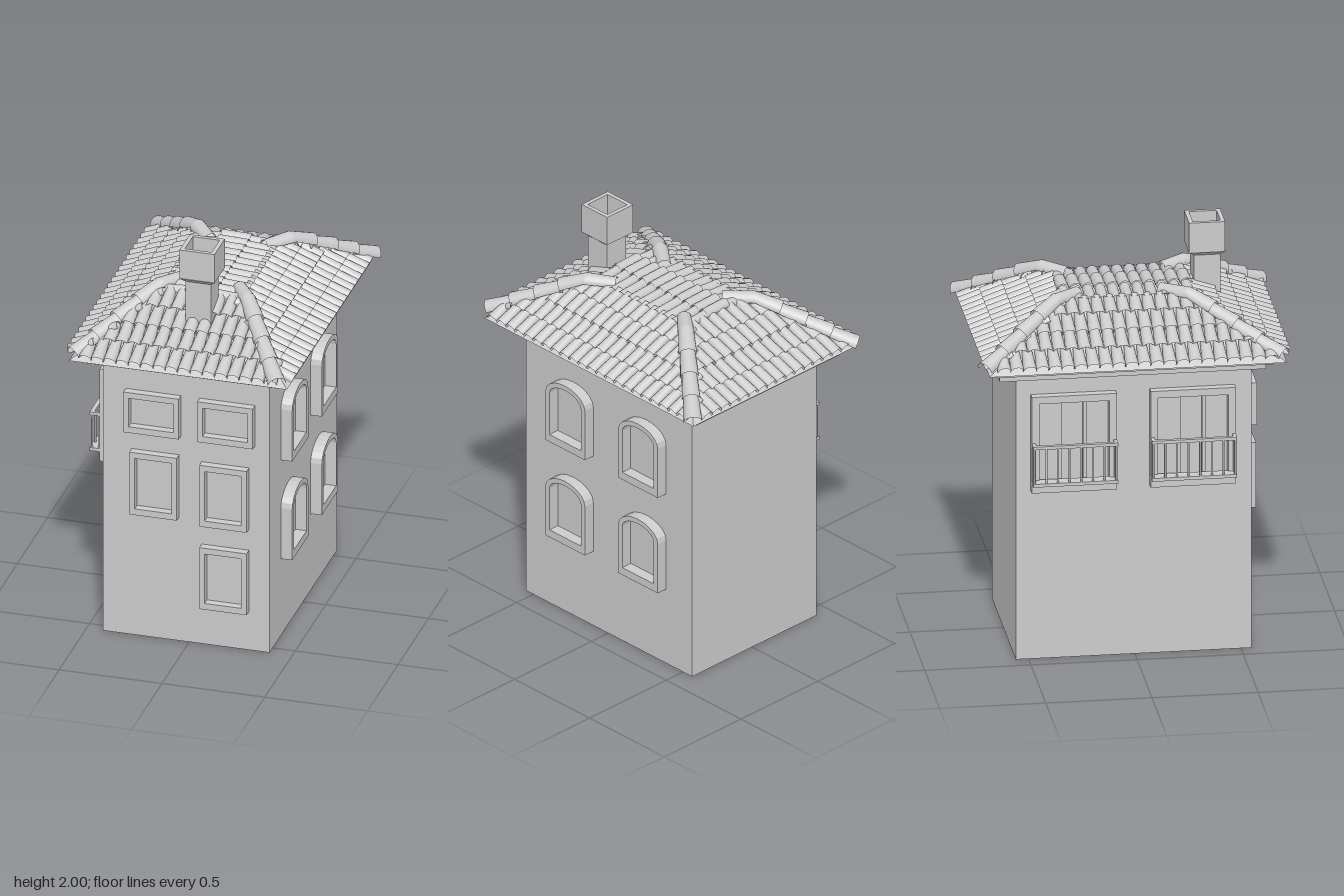
import * as THREE from 'three';
import { mergeGeometries } from 'three/addons/utils/BufferGeometryUtils.js';

const grey = new THREE.MeshStandardMaterial({ color: 0xcccccc });
const thin = new THREE.MeshStandardMaterial({ color: 0xcccccc, side: THREE.DoubleSide });
const V = (x, y, z) => new THREE.Vector3(x, y, z);

function add(parent, name, geometry, material = grey) {
  const mesh = new THREE.Mesh(geometry, material);
  mesh.name = name;
  parent.add(mesh);
  return mesh;
}

// Box given by its limits; the top face can be scaled to make a frustum
function block(x0, x1, y0, y1, z0, z1, tx = 1, tz = 1) {
  const g = new THREE.BoxGeometry(x1 - x0, y1 - y0, z1 - z0);
  const p = g.attributes.position;
  for (let i = 0; i < p.count; i++) {
    if (p.getY(i) > 0) p.setXYZ(i, p.getX(i) * tx, p.getY(i), p.getZ(i) * tz);
  }
  g.computeVertexNormals();
  return g.translate((x0 + x1) / 2, (y0 + y1) / 2, (z0 + z1) / 2);
}

const rect = (x0, x1, y0, y1) => [[x0, y0], [x1, y0], [x1, y1], [x0, y1]].map(p => new THREE.Vector2(...p));

// Low arch outline: straight sides with a half-ellipse on top
function arch(x0, x1, y0, spring, top) {
  const pts = [new THREE.Vector2(x0, y0), new THREE.Vector2(x1, y0)];
  for (let i = 0; i <= 10; i++) {
    const a = (i / 10) * Math.PI;
    pts.push(new THREE.Vector2((x0 + x1) / 2 + (Math.cos(a) * (x1 - x0)) / 2, spring + Math.sin(a) * (top - spring)));
  }
  return pts;
}

// Frame with an opening, standing out from a wall at the given distance
function frame(outer, inner, z, depth) {
  const s = new THREE.Shape(outer);
  s.holes.push(new THREE.Path(inner));
  return new THREE.ExtrudeGeometry(s, { depth, bevelEnabled: false }).translate(0, 0, z);
}

// Half-round tile from lower point a to upper point b
function tile(a, b, r0, r1) {
  const dir = b.clone().sub(a);
  const len = dir.length();
  const y = dir.normalize();
  const x = y.clone().cross(V(0, 1, 0)).normalize();
  const z = x.clone().cross(y);
  const mid = a.clone().add(b).multiplyScalar(0.5);
  const g = new THREE.CylinderGeometry(r1, r0, len, 10, 1, true, -Math.PI / 2, Math.PI);
  return g.applyMatrix4(new THREE.Matrix4().makeBasis(x, y, z).setPosition(mid));
}

const CX = -0.012;
const EAVE = { x: 0.53, z: 0.7, y: 1.475 };
const TOP = { x: 0.18, z: 0.31, y: 1.69 };

// Four overlapping courses of tiles on one roof slope
function slopeTiles(alongX, sign) {
  const [out, side] = alongX ? ['x', 'z'] : ['z', 'x'];
  const rows = 4, pitch = 0.06, list = [];
  const point = (t, c, lift) => {
    const d = sign * THREE.MathUtils.lerp(EAVE[out], TOP[out], t);
    const y = THREE.MathUtils.lerp(EAVE.y, TOP.y, t) + lift;
    return alongX ? V(CX + d, y, c) : V(CX + c, y, d);
  };
  for (let r = 0; r < rows; r++) {
    const t0 = r / rows - 0.03, t1 = Math.min((r + 1.25) / rows, 1.03);
    const half = THREE.MathUtils.lerp(EAVE[side], TOP[side], (r + 0.45) / rows);
    const n = Math.round((2 * half) / pitch);
    for (let i = 0; i < n; i++) {
      const c = (i - (n - 1) / 2) * pitch;
      list.push(tile(point(t0, c, 0.014), point(t1, c, -0.002), 0.033, 0.024));
    }
  }
  return mergeGeometries(list);
}

function buildRoof() {
  const roof = new THREE.Group();
  roof.name = 'roof';
  add(roof, 'lowerCornice', block(-0.485, 0.445, 1.415, 1.45, -0.645, 0.61));
  add(roof, 'upperCornice', block(-0.51, 0.46, 1.445, 1.465, -0.665, 0.635));
  add(roof, 'roofCore', block(CX - EAVE.x, CX + EAVE.x, 1.463, TOP.y, -EAVE.z, EAVE.z, TOP.x / EAVE.x, TOP.z / EAVE.z));
  add(roof, 'leftTiles', slopeTiles(true, 1), thin);
  add(roof, 'rightTiles', slopeTiles(true, -1), thin);
  add(roof, 'frontTiles', slopeTiles(false, 1), thin);
  add(roof, 'backTiles', slopeTiles(false, -1), thin);

  // Tiles lying across the ridge, with lower ones on either side
  const ridge = [];
  for (let i = 0; i < 11; i++) {
    const z = (i - 5) * 0.058;
    ridge.push(tile(V(-0.09, 1.705, z), V(0.055, 1.703, z), 0.03, 0.028));
    ridge.push(tile(V(0.19, 1.685, z), V(0.04, 1.7, z), 0.028, 0.024));
    ridge.push(tile(V(-0.21, 1.685, z), V(-0.07, 1.7, z), 0.028, 0.024));
  }
  add(roof, 'ridgeTiles', mergeGeometries(ridge), thin);

  // Overlapping caps down each hip
  const hips = [
    [0.475, 0.715, 0.14, 0.2], [-0.525, 0.685, -0.13, 0.16],
    [-0.525, -0.72, -0.13, -0.23], [0.53, -0.71, 0.13, -0.24],
  ];
  const caps = [];
  for (const [x0, z0, x1, z1] of hips) {
    const start = V(x0, 1.482, z0);
    const knee = V(x0, 1.7, z0).lerp(V(x1, 1.7, z1), 0.76);
    for (let i = 0; i < 4; i++) {
      const a = start.clone().lerp(knee, i / 4), b = start.clone().lerp(knee, (i + 1.15) / 4);
      a.y += 0.008;
      caps.push(tile(a, b, 0.044, 0.036));
    }
    caps.push(tile(knee, V(x1, 1.7, z1), 0.04, 0.034));
  }
  add(roof, 'hipCaps', mergeGeometries(caps), thin);
  return roof;
}

function buildChimney() {
  const g = new THREE.Group();
  g.name = 'chimney';
  add(g, 'chimneyStack', block(-0.047, 0.077, 1.5, 1.84, 0.33, 0.455));
  add(g, 'chimneyFlare', block(-0.047, 0.077, 1.83, 1.852, 0.33, 0.455, 1.37, 1.37));
  const pot = frame(rect(-0.085, 0.085, -0.085, 0.085), rect(-0.065, 0.065, -0.065, 0.065), 0, 0.15);
  add(g, 'chimneyTop', pot.rotateX(-Math.PI / 2).translate(0.015, 1.85, 0.39));
  return g;
}

// Framed window with a guard rail, centred on c; the wall is at w
function balcony(c, w) {
  const g = new THREE.Group();
  g.name = 'balconyWindow';
  const h = 0.2, d = w + 0.083;
  add(g, 'balconyFrame', frame(rect(c - h, c + h, 0.84, 1.32), rect(c - h + 0.035, c + h - 0.035, 0.89, 1.285), w - 0.005, 0.045));
  add(g, 'windowLeaf', block(c - h + 0.035, c - 0.055, 0.89, 1.285, w - 0.005, w + 0.018));
  add(g, 'windowPost', block(c + 0.045, c + 0.06, 0.89, 1.285, w - 0.005, w + 0.018));
  add(g, 'balconyFloor', block(c - h, c + h, 0.888, 0.904, w + 0.03, d + 0.006));
  add(g, 'frontHandrail', block(c - h, c + h, 1.075, 1.09, d - 0.014, d + 0.006));
  const bar = (x, z) => add(g, 'baluster', new THREE.CylinderGeometry(0.005, 0.005, 0.18, 8).translate(x, 0.99, z));
  for (let i = 0; i < 8; i++) bar(c - h + 0.008 + (i * (2 * h - 0.016)) / 7, d - 0.004);
  for (const s of [-1, 1]) {
    const x = c + s * (h - 0.008);
    add(g, 'sideHandrail', block(x - 0.008, x + 0.008, 1.075, 1.09, w + 0.03, d));
    bar(x, w + 0.046);
  }
  return g;
}

export function createModel() {
  const house = new THREE.Group();
  house.name = 'house';
  add(house, 'walls', block(-0.42, 0.39, 0, 1.42, -0.56, 0.55));

  // Front windows
  const front = [
    [-0.31, -0.04, 1.07, 1.28], [0.05, 0.32, 1.07, 1.28],
    [-0.28, -0.05, 0.645, 0.97], [0.06, 0.29, 0.63, 0.95], [0.06, 0.29, 0.2, 0.52],
  ];
  for (const [x0, x1, y0, y1] of front) {
    add(house, 'frontWindowFrame', frame(rect(x0, x1, y0, y1), rect(x0 + 0.026, x1 - 0.026, y0 + 0.032, y1 - 0.03), 0.545, 0.045));
  }

  // Arched windows on the left wall
  const left = new THREE.Group();
  left.name = 'archedWindows';
  left.rotation.y = Math.PI / 2;
  for (const c of [-0.232, 0.255]) {
    for (const y of [0.4, 0.915]) {
      const inner = arch(c - 0.105, c + 0.105, y + 0.04, y + 0.265, y + 0.32);
      add(left, 'archedWindowFrame', frame(arch(c - 0.132, c + 0.132, y, y + 0.265, y + 0.345), inner, 0.385, 0.06));
    }
  }
  house.add(left);

  // Balconies on the right wall
  const right = new THREE.Group();
  right.name = 'balconies';
  right.rotation.y = -Math.PI / 2;
  for (const c of [-0.29, 0.27]) right.add(balcony(c, 0.42));
  house.add(right);

  house.add(buildRoof(), buildChimney());
  return house;
}
